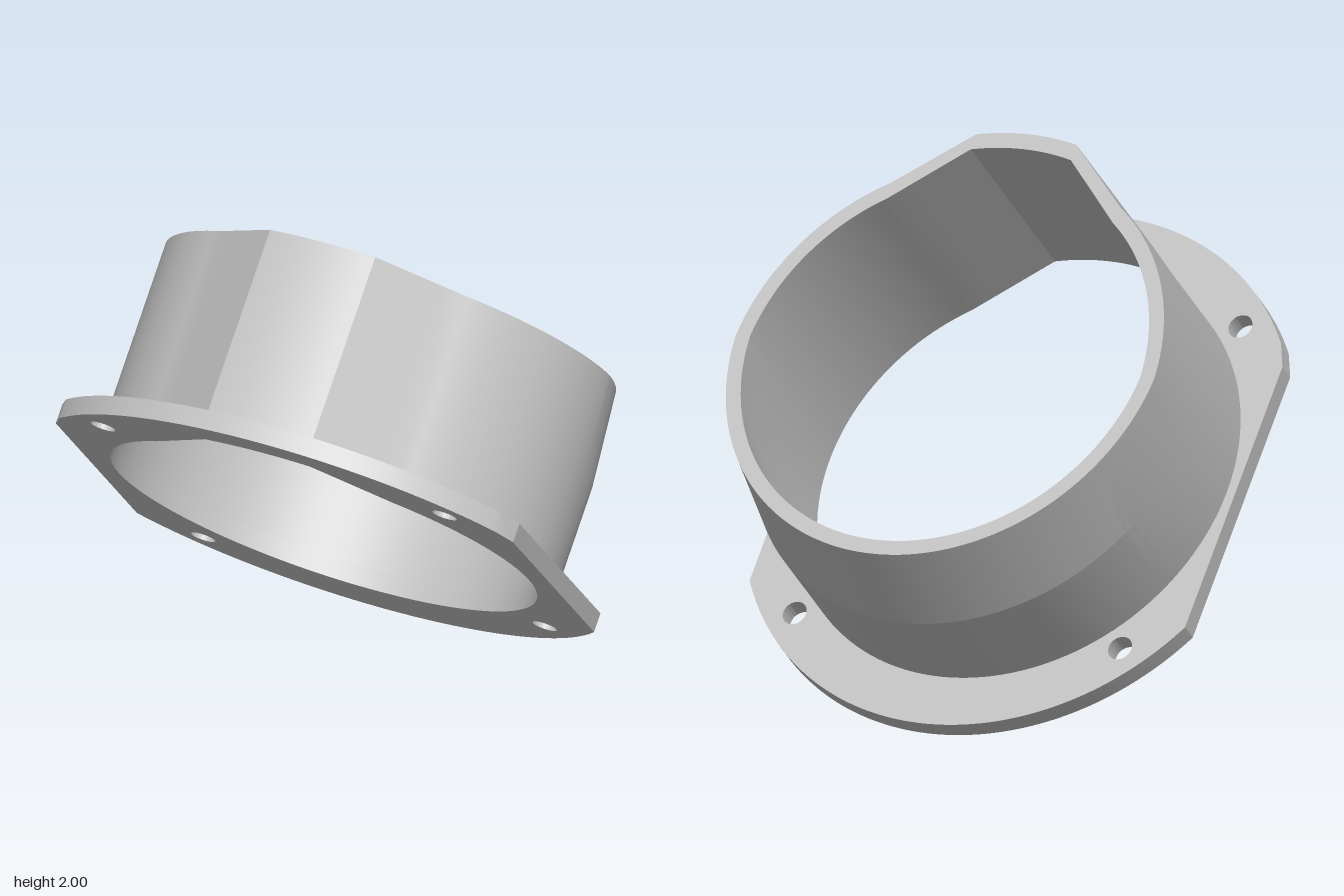
import * as THREE from 'three';
import { toCreasedNormals } from 'three/addons/utils/BufferGeometryUtils.js';

const FLANGE = 0.07, KINK = 0.437, END = 0.764;
// wall: circle radius r, raised arc of radius R on top, blended in at x = b
const OUTER = { r: 0.836, R: 0.945, b: 0.46 };
const INNER = { r: 0.78, R: 0.885, b: 0.45 };
const FLAT = 0.2;

const arc = (r, x) => Math.sqrt(Math.max(0, r * r - x * x));

function topHeight({ r, R, b }, x) {
  const ax = Math.abs(x);
  if (ax <= FLAT) return arc(R, x);
  if (ax >= b) return arc(r, x);
  return THREE.MathUtils.lerp(arc(R, FLAT), arc(r, b), (ax - FLAT) / (b - FLAT));
}

// Closed counter-clockwise section; the lower half is lifted by s
function section(wall, s = 0) {
  const w = arc(wall.r, s / 2), a = Math.acos(wall.b / w);
  const half = [];
  for (let i = 0; i <= 24; i++) half.push(i === 24 ? wall.b : w * Math.cos(a * i / 24));
  for (let i = 1; i <= 4; i++) half.push(wall.b + (FLAT - wall.b) * i / 4);
  for (let i = 1; i <= 6; i++) half.push(FLAT * (1 - i / 6));
  const xs = [...half, ...half.slice(0, -1).reverse().map((x) => -x)];
  const pts = xs.map((x) => new THREE.Vector2(x, topHeight(wall, x)));
  const n = 90;
  for (let i = 1; i < n; i++) {
    const x = -w * Math.cos(Math.PI * i / n);
    pts.push(new THREE.Vector2(x, s - arc(wall.r, x)));
  }
  return pts;
}

// Hollow sleeve: out along the outer wall, over the rim, back along the inner wall
function sleeveGeometry() {
  const lift = 0.086;
  const rings = [
    [OUTER, 0, FLANGE], [OUTER, 0, KINK], [OUTER, lift, END],
    [INNER, lift, END], [INNER, 0, KINK], [INNER, 0, FLANGE],
  ].map(([wall, s, depth]) => section(wall, s).map((p) => [p.x, p.y, -depth]));
  const n = rings[0].length, pos = [];
  for (let i = 0; i < rings.length - 1; i++) {
    for (let j = 0; j < n; j++) {
      const k = (j + 1) % n;
      const a = rings[i][j], b = rings[i][k], c = rings[i + 1][k], d = rings[i + 1][j];
      pos.push(...a, ...d, ...c, ...a, ...c, ...b);
    }
  }
  const g = new THREE.BufferGeometry();
  g.setAttribute('position', new THREE.Float32BufferAttribute(pos, 3));
  return toCreasedNormals(g, 0.12);
}

// Round plate with straight sides, clipped upper corners and four bolt holes
function flangeGeometry() {
  const R = 1.025, side = 0.87, cut = 0.83;
  const up = Math.acos(cut / R), low = Math.acos(side / R);
  const shape = new THREE.Shape();
  shape.moveTo(side, 0.51);
  shape.lineTo(cut, arc(R, cut));
  shape.absarc(0, 0, R, up, Math.PI - up, false);
  shape.lineTo(-side, 0.51);
  shape.lineTo(-side, -arc(R, side));
  shape.absarc(0, 0, R, Math.PI + low, Math.PI * 2 - low, false);
  shape.closePath();
  shape.holes.push(new THREE.Path(section(INNER)));
  for (const x of [-0.65, 0.65]) {
    for (const y of [-0.65, 0.65]) {
      shape.holes.push(new THREE.Path().absarc(x, y, 0.045, 0, Math.PI * 2, true));
    }
  }
  const g = new THREE.ExtrudeGeometry(shape, { depth: FLANGE, bevelEnabled: false, curveSegments: 48 });
  g.translate(0, 0, -FLANGE);
  return toCreasedNormals(g, 0.3);
}

export function createModel() {
  const grey = new THREE.MeshStandardMaterial({ color: 0xbfbfbf });
  grey.name = 'light grey';

  const flange = new THREE.Mesh(flangeGeometry(), grey);
  flange.name = 'flange';
  const sleeve = new THREE.Mesh(sleeveGeometry(), grey);
  sleeve.name = 'sleeve';

  // Whole adapter leans back
  const adapter = new THREE.Group();
  adapter.name = 'flangedAdapter';
  adapter.add(flange, sleeve);
  adapter.rotation.x = THREE.MathUtils.degToRad(40);
  adapter.position.set(0, 0.786, 0.207);

  const model = new THREE.Group();
  model.name = 'model';
  model.add(adapter);
  return model;
}
